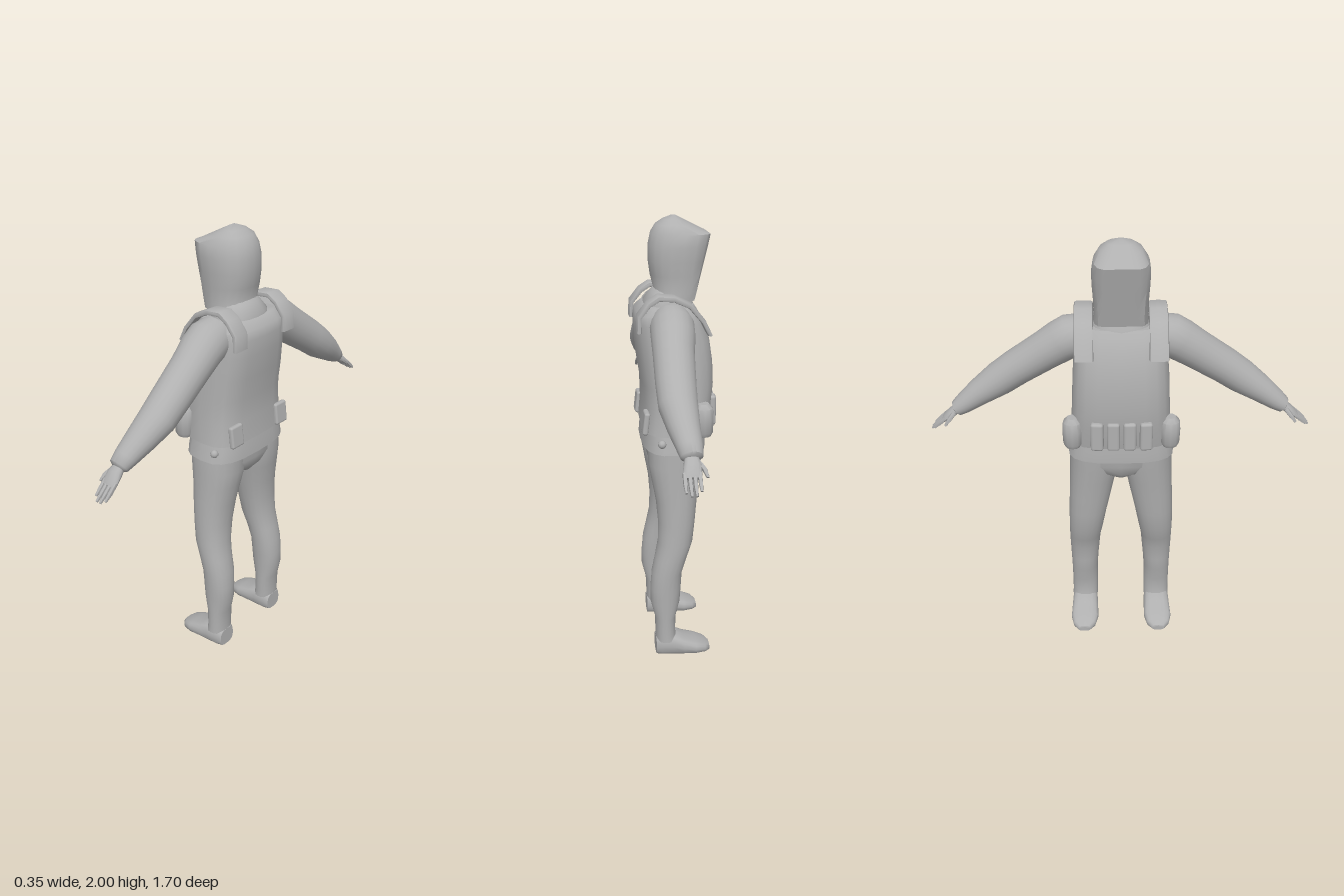
import * as THREE from 'three';
import { toCreasedNormals } from 'three/addons/utils/BufferGeometryUtils.js';
import { RoundedBoxGeometry } from 'three/addons/geometries/RoundedBoxGeometry.js';

const cloth = new THREE.MeshStandardMaterial({ color: 0xb0b0b0 });
cloth.name = 'grey cloth';

const V = (x, y, z) => new THREE.Vector3(x, y, z);

// Superellipse ring about c with half axes u and v; p = 2 is round, larger is boxier
function ring(c, u, v, p = 2, n = 20) {
  const pts = [];
  const pw = (t) => Math.sign(t) * Math.pow(Math.abs(t), 2 / p);
  for (let i = 0; i < n; i++) {
    const a = (i / n) * Math.PI * 2;
    pts.push(c.clone().addScaledVector(u, pw(Math.cos(a))).addScaledVector(v, pw(Math.sin(a))));
  }
  return pts;
}

// Horizontal ring from its extents: y, back/front x, inner/outer z
const level = (y, x0, x1, z0, z1, p) =>
  ring(V((x0 + x1) / 2, y, (z0 + z1) / 2), V((x1 - x0) / 2, 0, 0), V(0, 0, (z1 - z0) / 2), p);

// Closed skin over a row of rings, always wound outwards
function loft(rings, crease = 0.8) {
  const n = rings[0].length, m = rings.length, pos = [], idx = [];
  const add = (q) => pos.push(q.x, q.y, q.z);
  rings.flat().forEach(add);
  for (let r = 0; r < m - 1; r++) for (let i = 0; i < n; i++) {
    const a = r * n + i, b = r * n + (i + 1) % n;
    idx.push(a, a + n, b, b, a + n, b + n);
  }
  [0, m - 1].forEach((r, end) => {
    const c = rings[r].reduce((s, q) => s.add(q), V(0, 0, 0)).divideScalar(n);
    const k = pos.length / 3;
    add(c);
    for (let i = 0; i < n; i++) {
      const a = r * n + i, b = r * n + (i + 1) % n;
      if (end) idx.push(a, k, b); else idx.push(a, b, k);
    }
  });
  const at = (i) => V(pos[3 * i], pos[3 * i + 1], pos[3 * i + 2]);
  let volume = 0;
  for (let i = 0; i < idx.length; i += 3) volume += at(idx[i]).dot(at(idx[i + 1]).cross(at(idx[i + 2])));
  if (volume < 0) idx.reverse();
  const g = new THREE.BufferGeometry();
  g.setAttribute('position', new THREE.Float32BufferAttribute(pos, 3));
  g.setIndex(idx);
  return toCreasedNormals(g, crease);
}

export function createModel() {
  const model = new THREE.Group();
  model.name = 'hoodedFigure';
  const body = new THREE.Group();
  body.name = 'body';
  body.position.z = -0.007;
  model.add(body);
  const part = (name, geometry, parent = body) => {
    const mesh = new THREE.Mesh(geometry, cloth);
    mesh.name = name;
    parent.add(mesh);
    return mesh;
  };

  // Hood: y, back x, half width, roundness; the front is cut by the slanted face plane
  const hood = [[1.66, 0.10, 0.115], [1.70, 0.085, 0.112], [1.76, 0.10, 0.114], [1.82, 0.108, 0.118],
    [1.88, 0.108, 0.119], [1.93, 0.098, 0.112], [1.965, 0.075, 0.085], [1.985, 0.045, 0.055], [2.0, 0.01, 0.012]];
  part('hood', loft(hood.map(([y, back, w]) => {
    const face = y <= 1.93 ? -0.088 - (y - 1.69) * 0.24 : -0.145 + (y - 1.93) * 1.95;
    const over = y <= 1.93 ? 0.035 : 0.004;
    const pts = level(y, face - over, back, -w, w, 2.3);
    pts.forEach((q) => { q.x = Math.max(q.x, face); });
    return pts;
  }), 0.75));
  part('collar', loft([level(1.58, -0.10, 0.13, -0.13, 0.13, 2.4), level(1.65, -0.08, 0.13, -0.125, 0.125, 2.4),
    level(1.69, -0.06, 0.10, -0.10, 0.10, 2.2), level(1.71, -0.05, 0.08, -0.08, 0.08, 2)]));

  // Vest body, flaring slightly to the hem
  part('vest', loft([
    level(1.10, -0.135, 0.15, -0.228, 0.228, 3.2), level(1.20, -0.155, 0.142, -0.218, 0.218, 3.2),
    level(1.30, -0.164, 0.145, -0.212, 0.212, 3.2), level(1.40, -0.16, 0.16, -0.208, 0.208, 3.2),
    level(1.50, -0.145, 0.17, -0.20, 0.20, 3.2), level(1.57, -0.12, 0.172, -0.195, 0.195, 3.2),
    level(1.61, -0.10, 0.165, -0.19, 0.19, 3.2), level(1.64, -0.08, 0.13, -0.17, 0.17, 3)]));

  // Jacket hem below the vest
  part('jacketHem', loft([level(1.02, -0.13, 0.15, -0.238, 0.238, 3), level(1.06, -0.13, 0.147, -0.23, 0.23, 3),
    level(1.12, -0.125, 0.14, -0.215, 0.215, 3)]));

  // Hips
  part('hips', loft([level(1.05, -0.115, 0.13, -0.232, 0.232, 2.6), level(0.98, -0.108, 0.13, -0.225, 0.225, 2.6),
    level(0.93, -0.095, 0.115, -0.13, 0.13, 2.4), level(0.90, -0.07, 0.09, -0.045, 0.045, 2)]));

  // Pouches across the front
  for (let i = 0; i < 4; i++) {
    const pouch = part('frontPouch', new RoundedBoxGeometry(0.045, 0.135, 0.055, 2, 0.012));
    pouch.position.set(-0.15, 1.18, -0.105 + i * 0.07);
    pouch.rotation.y = (i - 1.5) * 0.06;
  }

  for (const s of [1, -1]) {
    const side = s > 0 ? 'right' : 'left';
    const limb = new THREE.Group();
    limb.name = s > 0 ? 'positiveZSide' : 'negativeZSide';
    body.add(limb);

    // Shoulder strap running over from back to chest
    const strap = [[0.168, 1.55], [0.165, 1.615], [0.125, 1.665], [0.085, 1.69], [0.02, 1.685], [-0.045, 1.655], [-0.10, 1.59], [-0.13, 1.53]];
    part('shoulderStrap', loft(strap.map(([x, y], i) => {
      const a = (i / 7) * Math.PI;
      return ring(V(x, y, s * 0.155), V(Math.cos(a) * 0.01, Math.sin(a) * 0.012, 0), V(0, 0, s * 0.04), 4, 12);
    })), limb);

    // Sleeve: z, y, half height, x extents
    const sleeve = [[0.12, 1.59, 0.09, -0.05, 0.11], [0.19, 1.575, 0.096, -0.06, 0.125], [0.25, 1.543, 0.091, -0.055, 0.128],
      [0.32, 1.495, 0.085, -0.04, 0.13], [0.45, 1.408, 0.079, -0.025, 0.137], [0.53, 1.35, 0.075, -0.018, 0.137],
      [0.62, 1.29, 0.06, -0.012, 0.115], [0.69, 1.24, 0.046, -0.01, 0.092], [0.723, 1.217, 0.036, -0.005, 0.082],
      [0.73, 1.212, 0.022, 0.01, 0.07]];
    part('sleeve', loft(sleeve.map(([z, y, h, x0, x1]) =>
      ring(V((x0 + x1) / 2, y, s * z), V((x1 - x0) / 2, 0, 0), V(0, h * 0.82, s * h * 0.57)))), limb);

    // Hand: palm, four fingers and a thumb
    const across = (x, y, z, w, h, n = 12) => ring(V(x, y, s * z), V(w, 0, 0), V(0, h * 0.77, s * h * 0.64), 2.4, n);
    part('palm', loft([across(0.04, 1.222, 0.715, 0.024, 0.017), across(0.04, 1.195, 0.748, 0.034, 0.019),
      across(0.045, 1.168, 0.78, 0.037, 0.014), across(0.045, 1.16, 0.79, 0.034, 0.009)]), limb);
    [0.8, 1, 1, 0.85].forEach((len, i) => {
      const x = 0.017 + i * 0.019;
      part('finger', loft([across(x, 1.175, 0.775, 0.008, 0.009, 8), across(x + 0.002, 1.175 - 0.035 * len, 0.775 + 0.04 * len, 0.008, 0.009, 8),
        across(x + 0.002, 1.175 - 0.062 * len, 0.775 + 0.071 * len, 0.005, 0.005, 8)]), limb);
    });
    part('thumb', loft([across(0.02, 1.205, 0.735, 0.011, 0.012, 8), across(-0.003, 1.18, 0.757, 0.01, 0.01, 8),
      across(-0.013, 1.155, 0.777, 0.006, 0.006, 8)]), limb);

    // Trouser leg: y, x extents, inner and outer z
    const leg = [[1.04, -0.112, 0.13, 0.0, 0.23], [0.95, -0.104, 0.13, 0.008, 0.233], [0.88, -0.094, 0.118, 0.024, 0.235],
      [0.78, -0.084, 0.10, 0.045, 0.24], [0.68, -0.074, 0.092, 0.066, 0.244], [0.58, -0.062, 0.094, 0.084, 0.247],
      [0.50, -0.035, 0.11, 0.098, 0.248], [0.43, -0.013, 0.125, 0.104, 0.248], [0.35, -0.008, 0.132, 0.111, 0.246],
      [0.28, -0.003, 0.132, 0.116, 0.244], [0.20, 0.017, 0.113, 0.117, 0.243], [0.11, 0.018, 0.11, 0.118, 0.243],
      [0.08, 0.01, 0.11, 0.118, 0.245]];
    part('trouserLeg', loft(leg.map(([y, x0, x1, z0, z1]) => level(y, x0, x1, s * z0, s * z1, 2.2))), limb);

    // Shoe: cross-sections from heel to toe, with the sole on the ground
    const shoe = [[0.11, 0.09, 0.045], [0.085, 0.11, 0.058], [0.03, 0.108, 0.064], [-0.02, 0.083, 0.066],
      [-0.075, 0.064, 0.068], [-0.12, 0.047, 0.055], [-0.143, 0.03, 0.03]];
    part('shoe', loft(shoe.map(([x, h, w]) =>
      ring(V(x, h / 2, s * (0.181 + (0.1 - x) * 0.02)), V(0, h / 2, 0), V(0, 0, w), 3, 16))), limb);

    // Rounded side pouch and the raised tab at the back hem
    part('sidePouch', loft([[1.10, 0.032], [1.12, 0.042], [1.18, 0.044], [1.225, 0.04], [1.245, 0.022]].map(([y, r]) =>
      ring(V(-0.10, y, s * 0.212), V(r, 0, 0), V(0, 0, s * r), 2.2, 12))), limb);
    const tab = part('hemTab', new RoundedBoxGeometry(0.025, 0.1, 0.075, 2, 0.01), limb);
    tab.position.set(0.142, 1.15, s * 0.15);
    tab.rotation.z = 0.12;
    const toggle = part('hemToggle', new THREE.SphereGeometry(0.018, 10, 8), limb);
    toggle.position.set(0.08, 1.07, s * 0.222);
    toggle.name = side + 'HemToggle';
  }
  return model;
}
